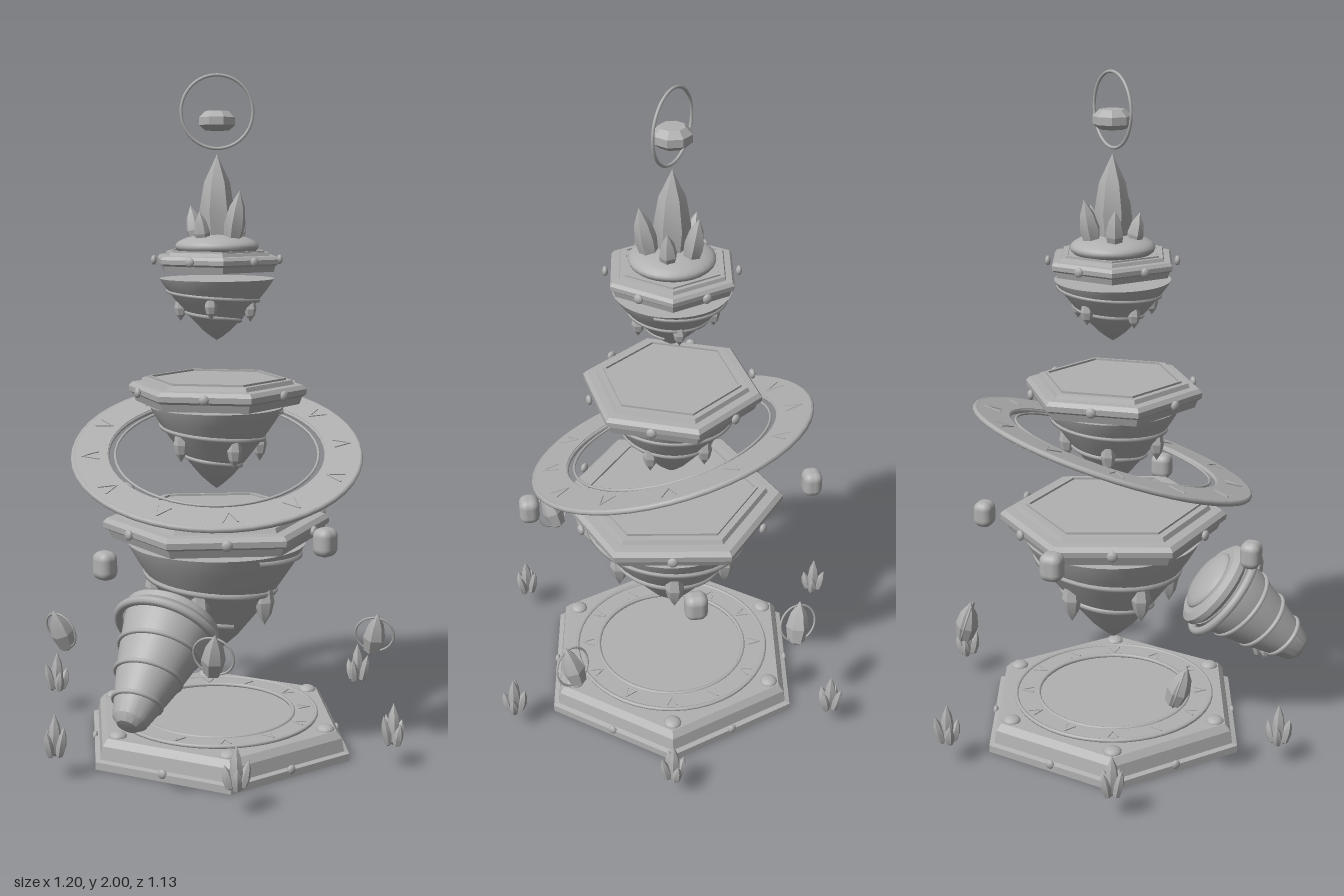
import * as THREE from 'three';
import { toCreasedNormals } from 'three/addons/utils/BufferGeometryUtils.js';
import { RoundedBoxGeometry } from 'three/addons/geometries/RoundedBoxGeometry.js';

const stone = new THREE.MeshStandardMaterial({ color: 0xb0b0b0 });
stone.name = 'grey stone';
const V = (x, y, z) => new THREE.Vector3(x, y, z);
const TAU = Math.PI * 2, DEG = Math.PI / 180;

function add(parent, name, geo, x = 0, y = 0, z = 0, rx = 0, ry = 0, rz = 0) {
  const m = new THREE.Mesh(geo, stone);
  m.name = name;
  m.position.set(x, y, z);
  m.rotation.set(rx, ry, rz);
  parent.add(m);
  return m;
}
function group(parent, name, x = 0, y = 0, z = 0) {
  const g = new THREE.Group();
  g.name = name;
  g.position.set(x, y, z);
  parent.add(g);
  return g;
}
// Turned profile, given bottom to top; six sides makes a hexagonal block
function turned(pts, sides, crease = 0.55) {
  const geo = new THREE.LatheGeometry(pts.map(p => new THREE.Vector2(p[0], p[1])), sides);
  return toCreasedNormals(geo, crease);
}
const annulus = (rIn, rOut, y0, y1, sides = 64) =>
  turned([[rIn, y0], [rOut, y0], [rOut, y1], [rIn, y1], [rIn, y0]], sides);
const crystalGeo = (r, h, sides = 6) =>
  turned([[0, 0], [r * 0.75, h * 0.1], [r, h * 0.42], [r * 0.72, h * 0.72], [0, h]], sides, 0.3);
function hoop(r, tube) {
  return new THREE.TorusGeometry(r, tube, 8, 48).rotateX(Math.PI / 2);
}
// Tube winding down around a turned body
function spiral(radiusAt, y0, y1, turns, tube, start = 0) {
  const pts = [];
  for (let i = 0; i <= 48; i++) {
    const t = i / 48, a = start + t * turns * TAU, y = y0 + (y1 - y0) * t, r = radiusAt(y);
    pts.push(V(Math.sin(a) * r, y, Math.cos(a) * r));
  }
  return new THREE.TubeGeometry(new THREE.CatmullRomCurve3(pts), 110, tube, 6);
}
// Small gem studs spaced evenly around a rim
function studs(parent, name, r, y, start, size) {
  for (let i = 0; i < 6; i++) {
    const a = start + i * TAU / 6;
    const m = add(parent, name, new THREE.SphereGeometry(size, 10, 8), Math.sin(a) * r, y, Math.cos(a) * r, 0, a, 0);
    m.scale.set(1, 1, 0.6);
  }
}
// Engraved-looking marks around a flat ring
function marks(parent, r, y, count, len) {
  for (let i = 0; i < count; i++) {
    const a = i * TAU / count;
    const g = group(parent, 'ringMark', Math.sin(a) * r, y, Math.cos(a) * r);
    g.rotation.y = a;
    for (const s of [-1, 1])
      add(g, 'markStroke', new THREE.BoxGeometry(0.005, 0.004, len), s * len * 0.2, 0, 0, 0, s * (i % 2 ? 0.4 : -0.4), 0);
  }
}

// Hexagonal floating platform with a conical rock below
function island(parent, name, o) {
  const g = group(parent, name);
  const { R, top, bottom, rot } = o, h = top - bottom, at = f => bottom + h * f;
  const slab = turned([[0, at(0)], [R * 0.92, at(0)], [R * 0.95, at(0.3)], [R * 0.995, at(0.4)], [R, at(0.62)],
    [R * 0.96, at(0.78)], [R * 0.86, at(0.8)], [R * 0.84, at(0.97)], [0, at(0.97)]], 6, 0.2);
  add(g, 'hexSlab', slab, 0, 0, 0, 0, rot, 0);
  add(g, 'hexTrim', annulus(R * 0.74, R * 0.77, at(0.9), at(1.05), 6), 0, 0, 0, 0, rot, 0);
  studs(g, 'rimStud', R * 0.866 + 0.016, at(0.55), rot + Math.PI / 6, o.stud);
  // Rock profile, as fractions of radius and depth
  const prof = [[0, 0], [0.1, 0.06], [0.24, 0.16], [0.45, 0.36], [0.7, 0.62], [0.88, 0.83], [0.97, 0.95], [1, 1]];
  const { rockR, rockTop, tip } = o, d = rockTop - tip;
  add(g, 'rock', turned([...prof.map(p => [p[0] * rockR, tip + p[1] * d]), [0, rockTop]], 40));
  const radiusAt = y => {
    const f = (y - tip) / d;
    for (let i = 1; i < prof.length; i++) {
      const [a, b] = [prof[i - 1], prof[i]];
      if (f <= b[1]) return rockR * (a[0] + (b[0] - a[0]) * (f - a[1]) / (b[1] - a[1]));
    }
    return rockR;
  };
  add(g, 'spiralBand', spiral(radiusAt, rockTop - d * 0.05, tip + d * 0.3, 2, rockR * 0.038, o.start));
  // Hanging crystals around the rock
  for (let i = 0; i < 5; i++) {
    const a = o.start + 0.5 + i * TAU / 5, y = tip + d * (0.56 + 0.06 * (i % 2)), r = radiusAt(y) * 1.0;
    const s = add(g, 'hangingCrystal', crystalGeo(rockR * 0.11, d * 0.36), Math.sin(a) * r, y + d * 0.12, Math.cos(a) * r);
    s.rotation.set(Math.PI, 0, 0);
  }
}

export function createModel() {
  const root = new THREE.Group();
  root.name = 'floatingShrine';
  const t = group(root, 'tower', 0, 0, -0.037);

  // Base pedestal
  const base = group(t, 'base');
  add(base, 'pedestal', turned([[0, 0], [0.432, 0], [0.432, 0.022], [0.415, 0.026], [0.408, 0.065], [0.39, 0.085],
    [0, 0.085]], 6, 0.2), 0, 0, 0, 0, Math.PI / 6, 0);
  add(base, 'ringBand', annulus(0.235, 0.305, 0.08, 0.092));
  add(base, 'outerRim', hoop(0.305, 0.006), 0, 0.091, 0);
  add(base, 'innerRim', hoop(0.235, 0.006), 0, 0.091, 0);
  marks(base, 0.27, 0.093, 12, 0.04);
  studs(base, 'edgeStud', 0.372, 0.022, 0, 0.014);
  for (let i = 0; i < 6; i++) {
    const a = Math.PI / 6 + i * TAU / 6;
    add(base, 'cornerKnob', new THREE.SphereGeometry(0.027, 14, 10), Math.sin(a) * 0.355, 0.085, Math.cos(a) * 0.355).scale.y = 0.55;
  }

  // Three stacked islands
  island(t, 'largeIsland', { R: 0.342, top: 0.718, bottom: 0.64, rot: 0, rockR: 0.268, rockTop: 0.625, tip: 0.28, stud: 0.016, start: 0.9 });
  island(t, 'middleIsland', { R: 0.267, top: 1.118, bottom: 1.045, rot: -14 * DEG, rockR: 0.2, rockTop: 1.036, tip: 0.785, stud: 0.015, start: 1.6 });
  island(t, 'topIsland', { R: 0.195, top: 1.492, bottom: 1.435, rot: Math.PI / 6, rockR: 0.168, rockTop: 1.412, tip: 1.23, stud: 0.014, start: 2.3 });

  // Tilted orbit ring
  const ring = group(t, 'orbitRing', 0, 0.895, 0);
  ring.quaternion.setFromUnitVectors(V(0, 1, 0), V(0.147, 1, 0.33).normalize());
  add(ring, 'ringPlate', annulus(0.325, 0.428, -0.008, 0.008, 72));
  add(ring, 'ringOuterRim', hoop(0.426, 0.009));
  add(ring, 'ringInnerRim', hoop(0.327, 0.007));
  add(ring, 'ringThinHoop', hoop(0.303, 0.004));
  marks(ring, 0.376, 0.009, 12, 0.055);

  // Crystal crown on the top island
  const crown = group(t, 'crystalCrown', 0, 1.485, 0);
  add(crown, 'crownMound', new THREE.SphereGeometry(0.122, 28, 16), 0, 0.02, 0).scale.y = 0.3;
  add(crown, 'mainCrystal', crystalGeo(0.052, 0.285), 0, 0, 0);
  const small = [[70, 0.17, 0.032], [140, 0.12, 0.026], [205, 0.15, 0.03], [275, 0.125, 0.027], [345, 0.11, 0.024]];
  for (const [deg, h, r] of small) {
    const a = deg * DEG, s = group(crown, 'sideCrystal', Math.sin(a) * 0.058, 0.015, Math.cos(a) * 0.058);
    s.rotation.y = a;
    add(s, 'crystal', crystalGeo(r, h), 0, 0, 0, 0.2, 0, 0);
  }

  // Halo and its gem
  const halo = group(t, 'halo', 0, 1.89, 0);
  add(halo, 'haloRing', new THREE.TorusGeometry(0.104, 0.0045, 8, 56), 0, 0, 0, 0, Math.PI / 6, 0);
  add(halo, 'haloGem', turned([[0, -0.055], [0.038, -0.052], [0.055, -0.038], [0.055, -0.016], [0.036, 0.002], [0, 0.002]], 8, 0.2));

  // Tilted banded cone leaning out at the front
  const drill = group(t, 'bandedCone', 0, 0.44, 0.327);
  drill.quaternion.setFromUnitVectors(V(0, 1, 0), V(0, 0.63, -0.78).normalize());
  add(drill, 'coneBody', turned([[0, -0.33], [0.03, -0.326], [0.05, -0.308], [0.068, -0.25], [0.094, -0.165], [0.115, -0.08],
    [0.13, -0.01], [0.13, 0.0], [0, 0.0]], 36));
  for (const [y, r] of [[-0.25, 0.068], [-0.165, 0.094], [-0.08, 0.115]])
    add(drill, 'coneBand', hoop(r, 0.007), 0, y, 0, 0.08, 0, 0.08);
  add(drill, 'coneCollar', hoop(0.148, 0.013), 0, -0.012, 0);
  add(drill, 'coneCap', turned([[0, 0], [0.125, 0], [0.14, 0.014], [0.14, 0.032], [0.12, 0.045], [0, 0.045]], 36));
  add(drill, 'capDome', new THREE.SphereGeometry(0.1, 24, 14), 0, 0.045, 0).scale.y = 0.3;

  // Crystal clusters circling the base
  for (let i = 0; i < 6; i++) {
    const a = Math.PI / 6 + i * TAU / 6;
    const c = group(t, 'crystalCluster', Math.sin(a) * 0.565, 0.07, Math.cos(a) * 0.565);
    c.rotation.y = a + i;
    add(c, 'crystal', crystalGeo(0.02, 0.128), 0, 0, 0);
    for (let k = 0; k < 4; k++) {
      const b = k * TAU / 4, s = group(c, 'shard', Math.sin(b) * 0.016, 0, Math.cos(b) * 0.016);
      s.rotation.y = b;
      add(s, 'crystal', crystalGeo(0.015, 0.075 + 0.012 * (k % 3)), 0, 0, 0, 0.22, 0, 0);
    }
  }

  // Ringed crystals
  const ringed = [[0.445, 0.34, -0.175], [-0.435, 0.34, 0.19], [-0.185, 0.42, -0.43], [0.195, 0.42, 0.445]];
  for (const [x, y, z] of ringed) {
    const c = group(t, 'ringedCrystal', x, y, z);
    const tilt = group(c, 'tiltedCrystal');
    tilt.rotation.set(z > 0 ? 0.3 : 0.2, 0, -Math.sign(x) * 0.2);
    add(tilt, 'crystal', crystalGeo(0.034, 0.145), 0, -0.072, 0);
    add(c, 'crystalRing', new THREE.TorusGeometry(0.058, 0.0035, 6, 40), 0, 0, 0, 0.28, x * 0.5, 0);
  }

  // Floating rounded stones
  const stones = [[-0.405, 0.695, -0.165], [0.405, 0.695, 0.155], [0.16, 0.625, -0.405], [-0.16, 0.625, 0.405]];
  for (const [x, y, z] of stones)
    add(t, 'floatingStone', new RoundedBoxGeometry(0.066, 0.082, 0.06, 4, 0.024), x, y, z, 0, Math.atan2(x, z), 0);

  return root;
}
